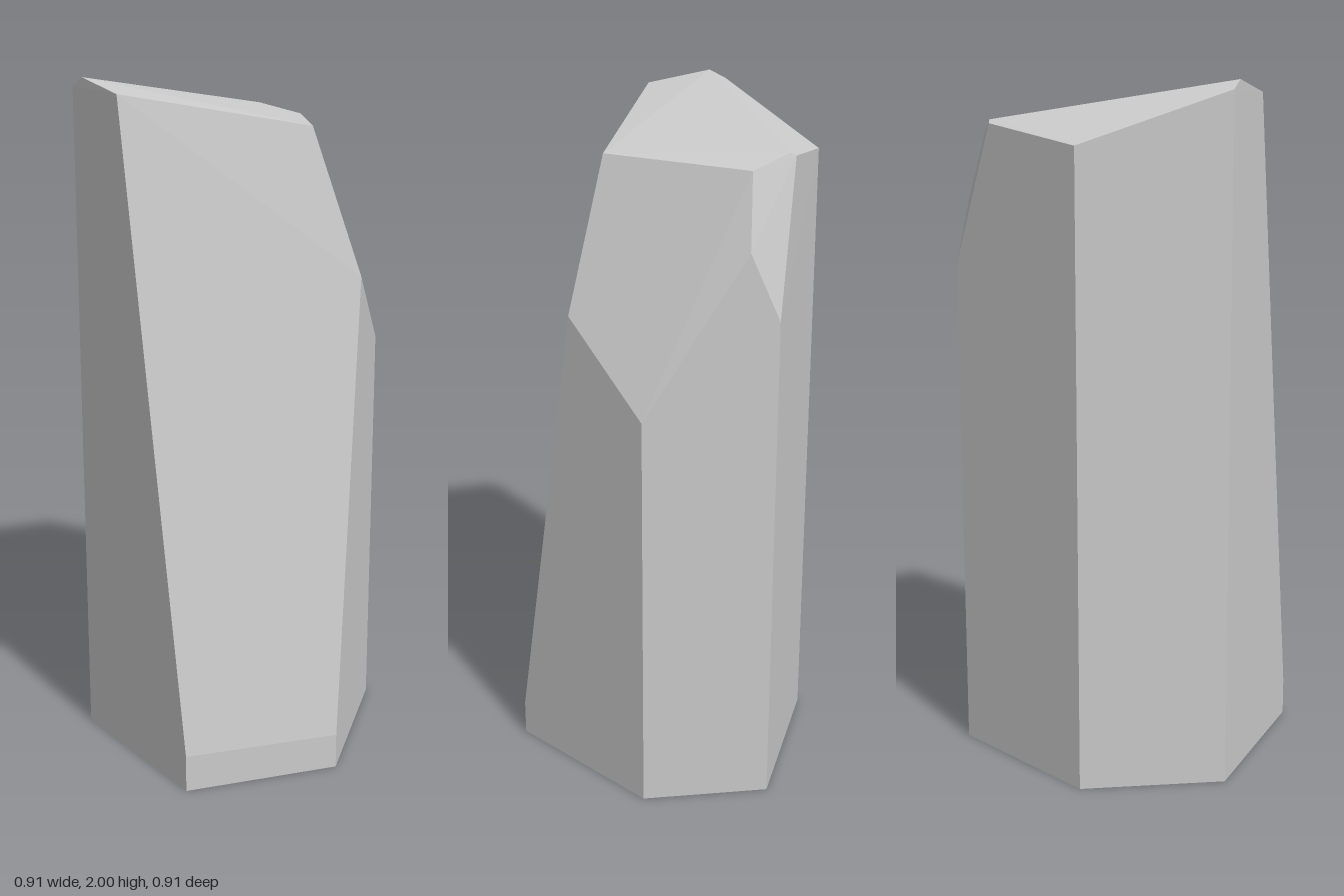
import * as THREE from 'three';
import { ConvexGeometry } from 'three/addons/geometries/ConvexGeometry.js';

// Footprint corners of the six-sided column: x, z and the height where the wall edge ends
const WALLS = [
  [-0.455, -0.015, 1.974],
  [-0.245, -0.383, 1.83],
  [0.264, -0.455, 1.47],
  [0.452, -0.135, 1.2],
  [0.27, 0.355, 0.105],
  [-0.184, 0.452, 0.11],
];

// Corners where the sloping cuts meet: x, y, z
const CUTS = [
  [-0.43, 2.0, 0.027],    // peak
  [-0.337, 1.965, 0.187], // front slope, upper corners
  [0.215, 1.865, 0.08],
  [0.355, 1.44, 0.126],   // front slope meets side bevel
  [0.242, 1.86, -0.36],   // side bevel, top and back
  [0.306, 1.66, -0.383],
  [0.12, 1.89, -0.42],    // back end of the ridge
  [0.105, 1.88, -0.432],
];

export function createModel() {
  const group = new THREE.Group();
  group.name = 'crystal';

  const points = CUTS.map((p) => new THREE.Vector3(...p));
  for (const [x, z, top] of WALLS) {
    points.push(new THREE.Vector3(x, 0, z), new THREE.Vector3(x, top, z));
  }

  // One faceted solid spanning all corners
  const shard = new THREE.Mesh(
    new ConvexGeometry(points),
    new THREE.MeshStandardMaterial({ color: 0xcccccc, flatShading: true })
  );
  shard.name = 'crystalShard';
  group.add(shard);
  return group;
}
